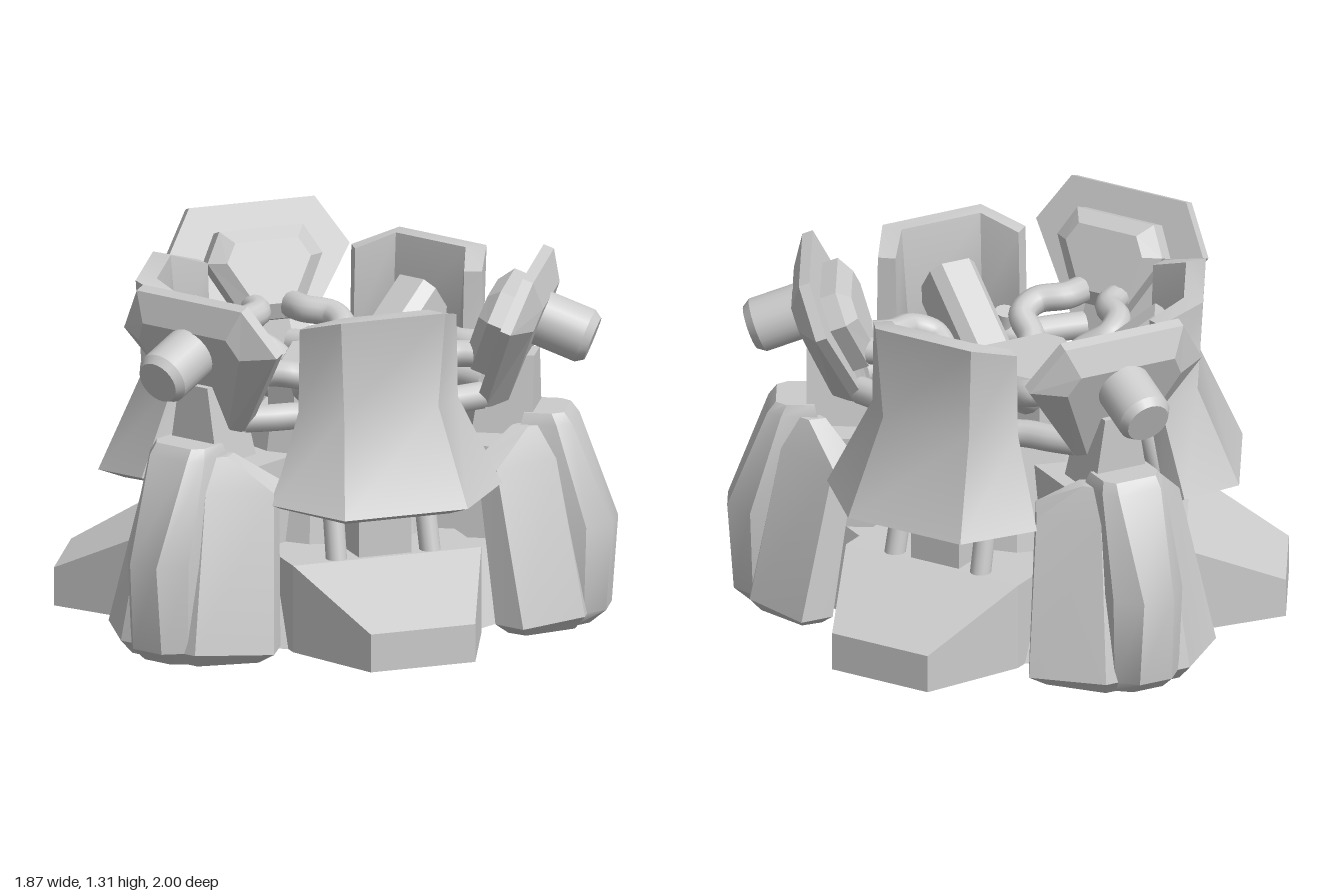
import * as THREE from 'three';
import { toCreasedNormals } from 'three/addons/utils/BufferGeometryUtils.js';

const grey = new THREE.MeshStandardMaterial({ color: 0xcccccc, flatShading: true });
const smooth = new THREE.MeshStandardMaterial({ color: 0xcccccc });

function add(parent, name, geometry, material = grey) {
  const mesh = new THREE.Mesh(geometry, material);
  mesh.name = name;
  parent.add(mesh);
  return mesh;
}

// Closed solid through rings of points; each ring is mirror symmetric in x.
function loft(rings) {
  const n = rings[0].length, tris = [];
  const quad = (a, b, c, d) => tris.push(a, b, c, a, c, d);
  for (let k = 0; k + 1 < rings.length; k++) {
    for (let i = 0; i < n; i++) {
      const j = (i + 1) % n;
      quad(rings[k][i], rings[k][j], rings[k + 1][j], rings[k + 1][i]);
    }
  }
  const first = rings[0], last = rings[rings.length - 1];
  for (let i = 0; i < n / 2 - 1; i++) {
    const p = n - 1 - i, q = p - 1;
    quad(first[i], first[p], first[q], first[i + 1]);
    quad(last[i], last[i + 1], last[q], last[p]);
  }
  // Turn the solid outwards if its signed volume is negative
  let volume = 0;
  const v = tris.map(p => new THREE.Vector3(...p));
  for (let i = 0; i < v.length; i += 3) volume += v[i].dot(v[i + 1].clone().cross(v[i + 2]));
  if (volume < 0) for (let i = 0; i < v.length; i += 3) [v[i], v[i + 1]] = [v[i + 1], v[i]];
  const g = new THREE.BufferGeometry().setFromPoints(v);
  g.computeVertexNormals();
  return g;
}

// Smooth along gentle bends, sharp at the folds
const creased = rings => toCreasedNormals(loft(rings), 0.6);

// Ring from the +x half of an outer and an inner line, both running centre to edge
function ring(outer, inner) {
  const flip = list => list.map(([x, y, z]) => [-x, y, z]);
  return [...flip(outer).reverse(), ...outer, ...[...inner].reverse(), ...flip(inner)];
}

// Six-cornered ring in a plane of constant z
const hexRing = (z, [a, b, c]) => ring([[a[0], a[1], z]], [[c[0], c[1], z], [b[0], b[1], z]]);

function rod(parent, name, a, b, r) {
  const from = new THREE.Vector3(...a), dir = new THREE.Vector3(...b).sub(from);
  const m = add(parent, name, new THREE.CylinderGeometry(r, r, dir.length(), 16), smooth);
  m.position.copy(from).addScaledVector(dir, 0.5);
  m.quaternion.setFromUnitVectors(new THREE.Vector3(0, 1, 0), dir.normalize());
}

function hose(parent, points, side) {
  const path = new THREE.CatmullRomCurve3(points.map(([x, y, z]) => new THREE.Vector3(side * x, y, z)));
  add(parent, 'hose', new THREE.TubeGeometry(path, 32, 0.05, 12), smooth);
}

function createGunUnit() {
  const g = new THREE.Group();
  g.name = 'gunUnit';

  // Leg shield with folded wings
  add(g, 'legShield', creased([
    ring([[0.15, 0.0, 0.92], [0.31, 0.01, 0.77]], [[0.14, 0.0, 0.74], [0.28, 0.01, 0.7]]),
    ring([[0.17, 0.05, 0.96], [0.38, 0.05, 0.77]], [[0.14, 0.05, 0.74], [0.32, 0.05, 0.66]]),
    ring([[0.13, 0.62, 0.85], [0.29, 0.61, 0.66]], [[0.1, 0.65, 0.74], [0.25, 0.64, 0.58]]),
    ring([[0.11, 0.74, 0.8], [0.15, 0.74, 0.75]], [[0.09, 0.74, 0.72], [0.13, 0.74, 0.69]]),
  ]), smooth);
  // Central ridge of the leg
  const ridge = (y, a, za, b, zb, zi) => ring([[a, y, za], [b, y, zb]], [[b * 0.6, y, zi], [b, y, zi]]);
  add(g, 'legRidge', creased([
    ridge(0.0, 0.06, 0.96, 0.12, 0.91, 0.74),
    ridge(0.05, 0.065, 1.02, 0.13, 0.95, 0.74),
    ridge(0.37, 0.06, 1.044, 0.14, 0.96, 0.74),
    ridge(0.74, 0.085, 0.9, 0.125, 0.85, 0.72),
    ridge(0.78, 0.08, 0.87, 0.11, 0.83, 0.73),
  ]), smooth);
  const hip = add(g, 'hip', new THREE.BoxGeometry(0.22, 0.34, 0.6));
  hip.position.set(0, 0.48, 0.46);
  // Neck carrying the head
  add(g, 'neck', loft([
    ring([[0.11, 0.7, 0.76]], [[0.11, 0.7, 0.54]]),
    ring([[0.065, 0.98, 0.76]], [[0.065, 0.98, 0.58]]),
  ]));

  // Tilted head plate, inner block and barrel
  const head = new THREE.Group();
  head.name = 'gunHead';
  head.position.set(0, 1.05, 0.7);
  head.rotation.x = 0.365;
  g.add(head);
  const rim = [[0.24, 0.26], [0.35, 0.08], [0.1, -0.28]];
  add(head, 'headPlate', loft([
    hexRing(-0.05, rim), hexRing(-0.01, rim),
    hexRing(0.055, [[0.19, 0.17], [0.23, 0.09], [0.08, -0.25]]),
  ]));
  const block = [[0.16, 0.16], [0.22, 0.05], [0.1, -0.17]];
  add(head, 'headInnerBlock', loft([
    hexRing(-0.04, block), hexRing(-0.11, block),
    hexRing(-0.15, [[0.12, 0.11], [0.16, 0.04], [0.07, -0.12]]),
  ]));
  const barrel = add(head, 'barrel', new THREE.CylinderGeometry(0.1, 0.1, 0.22, 24), smooth);
  const muzzle = add(head, 'muzzle', new THREE.CylinderGeometry(0.08, 0.1, 0.03, 24), smooth);
  barrel.rotation.x = muzzle.rotation.x = Math.PI / 2;
  barrel.position.set(0, 0.078, 0.11);
  muzzle.position.set(0, 0.078, 0.235);

  // On each side an upper hose bends to the core and a lower one passes behind the skirt
  for (const s of [-1, 1]) {
    hose(g, [[0.07, 0.98, 0.55], [0.09, 0.98, 0.46], [0.17, 0.97, 0.39], [0.18, 0.94, 0.31],
      [0.11, 0.89, 0.26], [0.07, 0.84, 0.18]], s);
    hose(g, [[0.08, 0.83, 0.57], [0.14, 0.83, 0.5], [0.21, 0.83, 0.41], [0.28, 0.82, 0.36],
      [0.36, 0.8, 0.37], [0.4, 0.72, 0.37]], s);
  }
  return g;
}

function createSkirtUnit() {
  const g = new THREE.Group();
  g.name = 'skirtUnit';

  // Hanging armour skirt, pinched at the waist
  add(g, 'armourSkirt', creased([
    ring([[0.235, 0.54, 0.79], [0.44, 0.57, 0.6]], [[0.2, 0.505, 0.7], [0.38, 0.535, 0.53]]),
    ring([[0.18, 0.89, 0.64], [0.305, 0.88, 0.51]], [[0.15, 0.89, 0.56], [0.25, 0.88, 0.46]]),
    ring([[0.2, 1.235, 0.66], [0.3, 1.185, 0.51]], [[0.16, 1.235, 0.59], [0.25, 1.185, 0.47]]),
  ]), smooth);

  // Foot with a sloping toe
  const slice = (w, top, z) => ring([[w, 0.02, z]], [[w, top, z]]);
  add(g, 'foot', loft([slice(0.36, 0.34, 0.2), slice(0.36, 0.34, 0.6), slice(0.2, 0.16, 0.956)]));

  // Struts and a post between foot and core
  for (const s of [-1, 1]) rod(g, 'strut', [s * 0.18, 0.3, 0.57], [s * 0.165, 0.92, 0.41], 0.038);
  add(g, 'post', new THREE.BoxGeometry(0.2, 0.55, 0.26)).position.set(0, 0.56, 0.45);

  // Chamfered sloping beam inside the skirt
  const section = new THREE.Shape([
    [-0.09, -0.11], [0.09, -0.11], [0.09, 0.04], [0.055, 0.08], [-0.055, 0.08], [-0.09, 0.04],
  ].map(p => new THREE.Vector2(...p)));
  const beam = add(g, 'slopingBeam', new THREE.ExtrudeGeometry(section, { depth: 0.42, bevelEnabled: false }));
  beam.position.set(0, 0.8, 0.2);
  beam.rotation.x = -0.66;
  return g;
}

export function createModel() {
  const model = new THREE.Group();
  model.name = 'turret';
  const hub = new THREE.Group();
  hub.name = 'hub';
  hub.position.z = -0.044;
  model.add(hub);

  // Base and central column
  add(hub, 'base', new THREE.CylinderGeometry(0.64, 0.76, 0.26, 6)).position.y = 0.15;
  add(hub, 'column', new THREE.CylinderGeometry(0.32, 0.42, 0.52, 12)).position.y = 0.5;

  // Three-sided core cap with cut corners
  const corners = [];
  for (let i = 0; i < 3; i++) {
    for (const s of [-1, 1]) {
      corners.push(new THREE.Vector2(s * 0.06, 0.26).rotateAround(new THREE.Vector2(), -i * Math.PI * 2 / 3));
    }
  }
  const cap = add(hub, 'coreCap', new THREE.ExtrudeGeometry(new THREE.Shape(corners), {
    depth: 0.2, bevelThickness: 0.05, bevelSize: 0.03, bevelOffset: -0.03, bevelSegments: 1,
  }));
  cap.rotation.set(-Math.PI / 2, 0, Math.PI);
  cap.position.y = 0.68;

  // Three gun units alternate with three skirt units
  for (let i = 0; i < 3; i++) {
    const gun = createGunUnit(), skirt = createSkirtUnit();
    gun.rotation.y = i * Math.PI * 2 / 3;
    skirt.rotation.y = gun.rotation.y + Math.PI / 3;
    hub.add(gun, skirt);
  }
  return model;
}
